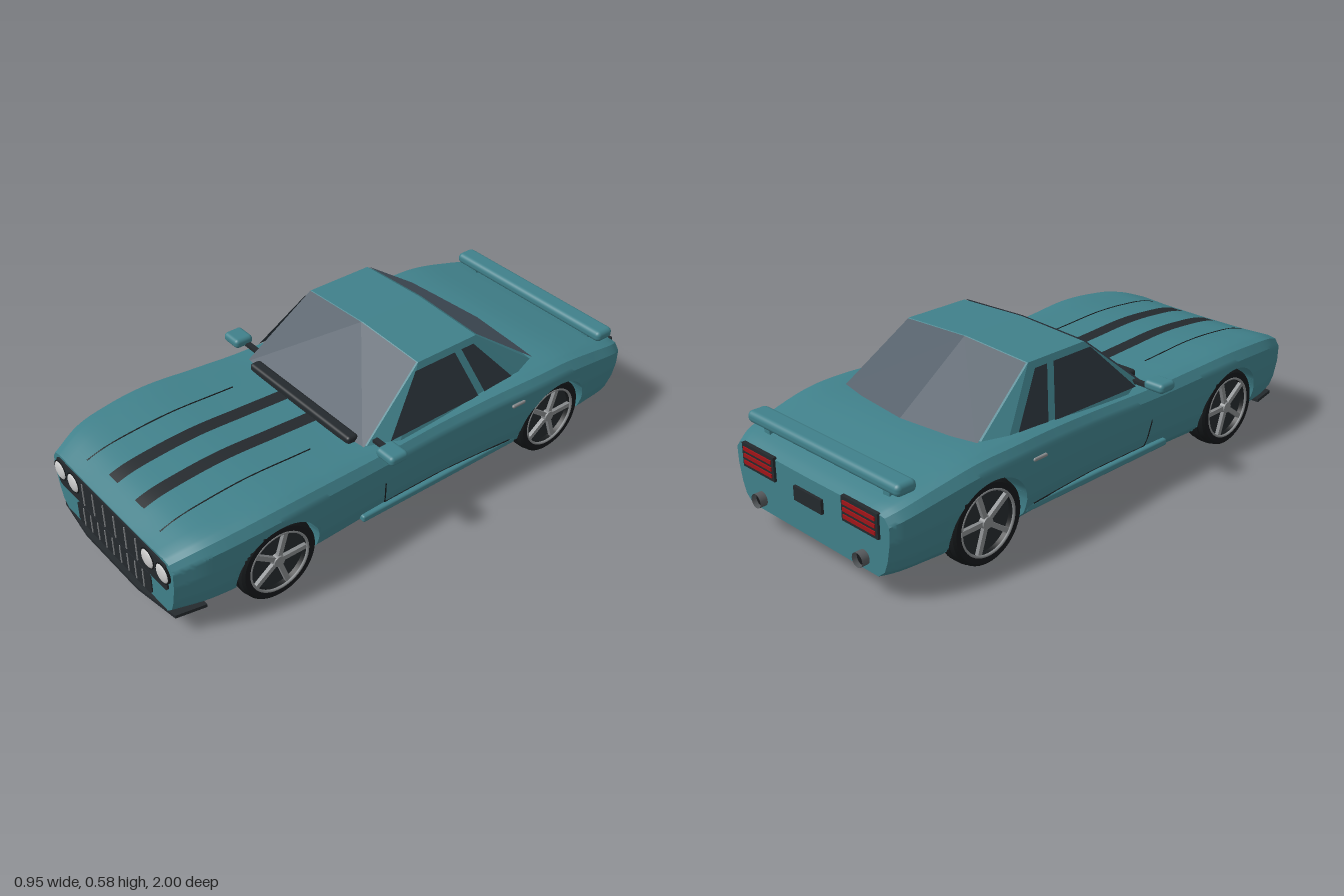
import * as THREE from 'three';
import { toCreasedNormals } from 'three/addons/utils/BufferGeometryUtils.js';
import { RoundedBoxGeometry } from 'three/addons/geometries/RoundedBoxGeometry.js';
import { ConvexGeometry } from 'three/addons/geometries/ConvexGeometry.js';

const mat = (color, extra = {}) => new THREE.MeshStandardMaterial({ color, ...extra });
const paint = mat(0x40808a), dark = mat(0x24292d), black = mat(0x15181a), grey = mat(0xcccccc);
const steel = mat(0x85888a), red = mat(0xa01418), glass = mat(0x46535f, { side: THREE.DoubleSide });
const tint = mat(0x2a333a, { side: THREE.DoubleSide });
const V = (x, y, z) => new THREE.Vector3(x, y, z);

const FLOOR = 0.085, AXLE_Y = 0.149, AXLES = [0.616, -0.6], ARCH = 0.16;

// Half cross-section, as fractions of half width and height
const P = [[0, .965], [.5, .972], [.86, 1], [.95, .975], [1, .86], [.995, .6], [.96, .3], [.92, .12], [.84, 0], [0, 0]];

// Stations from tail to nose: z, half width, top height
const S = [[-.972, .385, .302], [-.93, .405, .32], [-.8, .425, .354], [-.65, .437, .382], [-.5, .438, .387],
  [-.3, .422, .38], [-.1, .408, .368], [.2, .41, .36], [.4, .42, .368], [.6, .43, .376], [.75, .423, .367],
  [.875, .405, .349], [.98, .367, .312]];
const spline = new THREE.CubicInterpolant(S.map(s => s[0]), new Float32Array(S.flatMap(s => [s[1], s[2]])), 2);
const station = z => { const r = spline.evaluate(z); return [r[0], r[1] - FLOOR]; };

function lookup(pts, key, v) {
  for (let i = 0; i + 1 < pts.length; i++) {
    const a = pts[i], b = pts[i + 1], t = (v - a[key]) / (b[key] - a[key]);
    if (t >= 0 && t <= 1) return a[1 - key] + (b[1 - key] - a[1 - key]) * t;
  }
  return pts[pts.length - 1][1 - key];
}
const deckY = (x, z) => { const [w, h] = station(z); return FLOOR + h * lookup(P.slice(0, 5), 0, Math.abs(x) / w); };
const sideX = (y, z) => { const [w, h] = station(z); return w * lookup(P.slice(4, 9), 1, (y - FLOOR) / h); };

function bodyGeometry() {
  const half = [];
  for (let i = 0; i + 1 < P.length; i++) {
    const n = i >= 4 && i < 8 ? 7 : 3;
    for (let k = 0; k < n; k++) half.push([0, 1].map(c => P[i][c] + (P[i + 1][c] - P[i][c]) * k / n));
  }
  const ring = [...half, [0, 0], ...half.slice(1).reverse().map(([x, y]) => [-x, y])];
  const N = 200, M = ring.length, z0 = S[0][0], z1 = S[S.length - 1][0], pos = [], idx = [];
  for (let i = 0; i <= N; i++) {
    const zs = z0 + (z1 - z0) * i / N, [w, h] = station(zs);
    for (const [fx, fy] of ring) {
      let x = fx * w, y = FLOOR + fy * h, z = zs;
      // Wheel arches: snap nearby points to a circle, push those inside it inwards
      for (const az of AXLES) {
        const dz = z - az, dy = y - AXLE_Y, d = Math.hypot(dz, dy);
        if (Math.abs(x) < 0.3 || d > ARCH + 0.007) continue;
        if (d > ARCH - 0.006) { z = az + dz * ARCH / d; y = Math.max(FLOOR, AXLE_Y + dy * ARCH / d); }
        else x = Math.sign(x) * 0.3;
      }
      pos.push(x, y, z);
    }
  }
  for (let i = 0; i < N; i++) for (let j = 0; j < M; j++) {
    const a = i * M + j, b = i * M + (j + 1) % M;
    idx.push(a, a + M, b, b, a + M, b + M);
  }
  const c = (N + 1) * M;
  pos.push(0, 0.2, z0, 0, 0.2, z1);
  for (let j = 0; j < M; j++) {
    const k = (j + 1) % M;
    idx.push(c, j, k, c + 1, N * M + k, N * M + j);
  }
  const g = new THREE.BufferGeometry();
  g.setAttribute('position', new THREE.Float32BufferAttribute(pos, 3));
  g.setIndex(idx);
  return toCreasedNormals(g, 0.6);
}

// Flat fan panel from its corner points
function panelGeometry(pts) {
  const g = new THREE.BufferGeometry().setFromPoints(pts);
  const idx = [];
  for (let i = 1; i + 1 < pts.length; i++) idx.push(0, i, i + 1);
  g.setIndex(idx);
  const flat = g.toNonIndexed();
  flat.computeVertexNormals();
  return flat;
}

// Painted strip lying on the bonnet
function stripeGeometry(xc, w, z0, z1) {
  const g = new THREE.PlaneGeometry(w, z1 - z0, 4, 40).rotateX(-Math.PI / 2).translate(xc, 0, (z0 + z1) / 2);
  const p = g.attributes.position;
  for (let i = 0; i < p.count; i++) p.setY(i, deckY(p.getX(i), p.getZ(i)) + 0.003);
  g.computeVertexNormals();
  return g;
}

function plateGeometry(corners, depth) {
  const shape = new THREE.Shape(corners.map(([x, y]) => new THREE.Vector2(x, y)));
  return new THREE.ExtrudeGeometry(shape, { depth, bevelEnabled: false });
}

function makeWheel() {
  const w = new THREE.Group();
  const part = (name, geo, m) => { const o = new THREE.Mesh(geo, m); o.name = name; w.add(o); return o; };
  const tyre = [[.112, -.047], [.135, -.047], [.144, -.04], [.147, -.022], [.14, -.021], [.14, -.017], [.149, -.016],
    [.149, .016], [.14, .017], [.14, .021], [.147, .022], [.144, .04], [.135, .047], [.112, .047], [.11, .02]];
  part('tyre', toCreasedNormals(new THREE.LatheGeometry(tyre.map(p => new THREE.Vector2(...p)), 48), 0.6), black);
  part('wheelBarrel', new THREE.CylinderGeometry(0.113, 0.113, 0.06, 40).translate(0, -0.008, 0), dark);
  part('rimRing', new THREE.TorusGeometry(0.112, 0.005, 8, 48).rotateX(Math.PI / 2).translate(0, 0.044, 0), steel);
  for (let i = 0; i < 5; i++) {
    const spoke = part('spoke', new THREE.BoxGeometry(0.1, 0.014, 0.017).translate(0.06, 0.034, 0), steel);
    spoke.rotation.y = i * Math.PI * 2 / 5 + Math.PI / 2;
  }
  part('hub', new THREE.CylinderGeometry(0.02, 0.024, 0.02, 20).translate(0, 0.036, 0), steel);
  return w;
}

export function createModel() {
  const car = new THREE.Group();
  car.name = 'car';
  const add = (name, geo, m, x = 0, y = 0, z = 0) => {
    const o = new THREE.Mesh(geo, m);
    o.name = name; o.position.set(x, y, z); car.add(o);
    return o;
  };
  const box = (name, w, h, d, m, x, y, z) => add(name, new THREE.BoxGeometry(w, h, d), m, x, y, z);
  const soft = (name, w, h, d, r, m, x, y, z) => add(name, new RoundedBoxGeometry(w, h, d, 4, r), m, x, y, z);
  const seam = (name, pts) => {
    const path = new THREE.CurvePath();
    for (let i = 0; i + 1 < pts.length; i++) path.add(new THREE.LineCurve3(pts[i], pts[i + 1]));
    add(name, new THREE.TubeGeometry(path, 40, 0.0025, 5), black);
  };

  add('body', bodyGeometry(), paint);

  // Cabin and its glass
  const corners = [];
  for (const s of [-1, 1]) corners.push(V(s * .33, .34, .22), V(s * .378, .34, .1), V(s * .378, .34, -.5),
    V(s * .335, .34, -.61), V(s * .29, .566, -.05), V(s * .29, .566, -.31));
  corners.push(V(0, .34, -.635), V(0, .579, -.05), V(0, .579, -.31));
  add('cabin', new ConvexGeometry(corners), paint);
  add('windscreen', panelGeometry([V(0, .578, -.048), V(-.287, .566, -.048), V(-.327, .35, .212), V(.327, .35, .212),
    V(.287, .566, -.048)]), glass, 0, .002, .004);
  add('rearWindow', panelGeometry([V(0, .577, -.312), V(.286, .564, -.312), V(.328, .375, -.572), V(0, .372, -.6),
    V(-.328, .375, -.572), V(-.286, .564, -.312)]), glass, 0, .002, -.004);
  for (const s of [-1, 1]) {
    const on = (z, y) => V(s * (.378 - (y - .34) / .226 * .088 + .003), y, z);
    add('frontSideWindow', panelGeometry([on(.13, .372), on(-.03, .545), on(-.205, .545), on(-.265, .375)]), tint);
    add('rearSideWindow', panelGeometry([on(-.295, .377), on(-.235, .545), on(-.29, .545), on(-.43, .38)]), tint);
  }
  soft('cowl', .56, .034, .045, .012, dark, 0, .362, .215);

  // Bonnet stripes and seams
  for (const s of [-1, 1]) {
    add('stripe', stripeGeometry(s * .08, .054, .235, .915), dark);
    const line = [];
    for (let z = .35; z < .94; z += .058) line.push(V(s * .222, deckY(.222, z), z));
    seam('bonnetSeam', line);
  }

  // Doors, sills and mirrors
  for (const s of [-1, 1]) {
    const on = (y, z) => V(s * (sideX(y, z) + .0005), y, z);
    seam('doorSeam', [on(.335, .18), on(.25, .18), on(.18, .172), on(.14, .165), on(.14, -.1), on(.14, -.4)]);
    soft('sill', .04, .026, .7, .008, paint, s * .383, .128, -.08);
    soft('doorHandle', .012, .012, .06, .005, steel, s * (sideX(.315, -.4) + .003), .315, -.4);
    soft('mirror', .085, .036, .075, .015, paint, s * .432, .384, .178);
    box('mirrorArm', .09, .012, .02, dark, s * .375, .372, .165);
  }

  // Nose: grilles, lamps and splitter
  add('grille', plateGeometry([[-.335, .2], [-.325, .19], [.325, .19], [.335, .2], [.335, .295], [.325, .3],
    [-.325, .3], [-.335, .295]], .01), dark, 0, 0, .976);
  add('lowerGrille', plateGeometry([[-.228, .105], [-.216, .093], [.216, .093], [.228, .105], [.228, .17],
    [.216, .181], [-.216, .181], [-.228, .17]], .008), dark, 0, 0, .976);
  for (let i = 0; i < 6; i++) box('grilleSlat', .004, .09, .005, steel, (i - 2.5) * .066, .245, .987);
  for (let i = 0; i < 9; i++) box('lowerGrilleSlat', .004, .074, .004, steel, (i - 4) * .046, .137, .985);
  for (const x of [-.315, -.23, .23, .315]) {
    add('headlightRing', new THREE.CylinderGeometry(.038, .038, .012, 32).rotateX(Math.PI / 2), black, x, .254, .982);
    add('headlight', new THREE.SphereGeometry(.034, 28, 16).scale(1, 1, .3), grey, x, .254, .986);
  }
  add('splitter', plateGeometry([[-.365, -.87], [.365, -.87], [.345, -.975], [.16, -1], [-.16, -1], [-.345, -.975]]
    .map(([x, z]) => [x, -z]).reverse(), .012).rotateX(Math.PI / 2), dark, 0, .089, 0);

  // Tail: spoiler, lamps, exhausts and plate
  soft('spoiler', .76, .042, .078, .018, paint, 0, .367, -.892);
  for (const s of [-1, 1]) {
    box('spoilerPost', .03, .06, .04, paint, s * .3, .335, -.89);
    box('tailLightHousing', .17, .085, .014, dark, s * .257, .262, -.974);
    for (const y of [.238, .262, .286]) box('tailLight', .15, .013, .008, red, s * .257, y, -.981);
    add('exhaust', new THREE.CylinderGeometry(.025, .025, .06, 24, 1, true).rotateX(Math.PI / 2),
      mat(0x55595c, { side: THREE.DoubleSide }), s * .26, .126, -.97);
    add('exhaustCore', new THREE.CylinderGeometry(.024, .024, .02, 24).rotateX(Math.PI / 2), black, s * .26, .126, -.972);
  }
  box('plate', .14, .05, .014, dark, 0, .222, -.975);

  // Wheels
  for (const s of [-1, 1]) for (const z of AXLES) {
    const wheel = makeWheel();
    wheel.name = (s > 0 ? 'left' : 'right') + (z > 0 ? 'FrontWheel' : 'RearWheel');
    wheel.rotation.z = -s * Math.PI / 2;
    wheel.position.set(s * .36, AXLE_Y, z);
    car.add(wheel);
  }
  return car;
}
